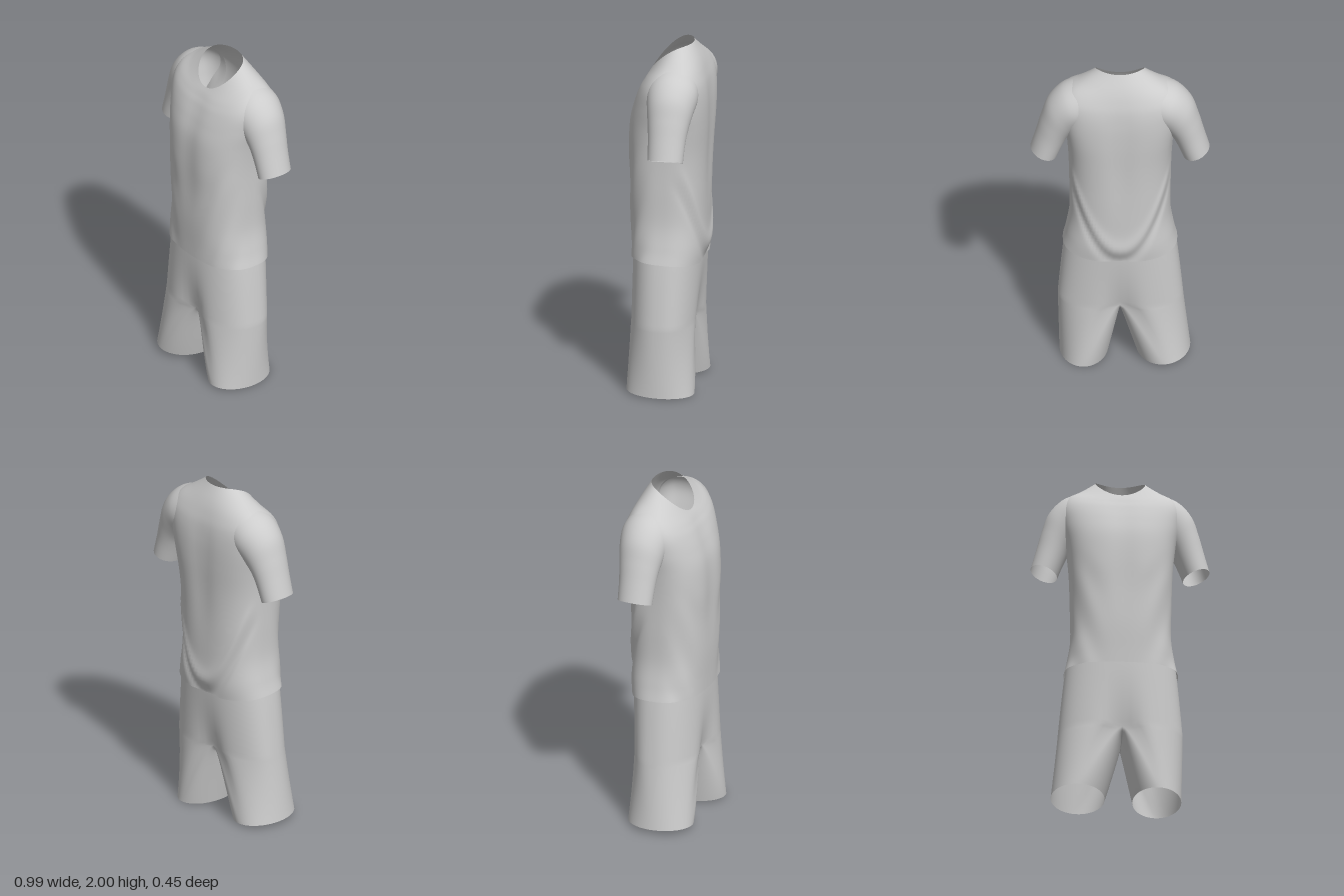
import * as THREE from 'three';
import { mergeGeometries, mergeVertices } from 'three/addons/utils/BufferGeometryUtils.js';

const TAU = Math.PI * 2;
const spow = (v, e) => Math.sign(v) * Math.abs(v) ** e;
const { lerp, smoothstep } = THREE.MathUtils;

// Smoothly interpolated row of numbers at v in 0..1
function sample(rows, v) {
  const f = v * (rows.length - 1), i = Math.min(Math.floor(f), rows.length - 2), t = f - i;
  const at = (k) => rows[Math.max(0, Math.min(rows.length - 1, k))];
  return rows[0].map((_, c) => {
    const [a, b, d, e] = [at(i - 1)[c], at(i)[c], at(i + 1)[c], at(i + 2)[c]];
    return b + 0.5 * t * (d - a + t * (2 * a - 5 * b + 4 * d - e + t * (3 * (b - d) + e - a)));
  });
}

// Surface grid from point(u, v), both in 0..1
function grid(point, nu, nv, flip = false) {
  const pos = [], idx = [];
  for (let j = 0; j <= nv; j++) for (let i = 0; i <= nu; i++) pos.push(...point(i / nu, j / nv));
  for (let j = 0; j < nv; j++) for (let i = 0; i < nu; i++) {
    const a = j * (nu + 1) + i, b = a + 1, d = a + nu + 1, c = d + 1;
    idx.push(...(flip ? [a, c, b, a, d, c] : [a, b, c, a, c, d]));
  }
  const g = new THREE.BufferGeometry();
  g.setAttribute('position', new THREE.Float32BufferAttribute(pos, 3));
  g.setIndex(idx);
  return g;
}

// Weld seams and smooth
function weld(parts) {
  const g = mergeVertices(mergeGeometries(parts), 1e-4);
  g.computeVertexNormals();
  return g;
}

// Shirt rings: half width, front z, front y, back z, back y, side y
const TORSO = [
  [0.318, 0.208, 0.78, -0.2, 0.75, 0.78],
  [0.3, 0.211, 0.86, -0.21, 0.84, 0.86],
  [0.28, 0.217, 1.0, -0.211, 1.0, 1.0],
  [0.282, 0.221, 1.2, -0.217, 1.2, 1.2],
  [0.288, 0.227, 1.4, -0.224, 1.4, 1.4],
  [0.302, 0.219, 1.56, -0.23, 1.56, 1.55],
  [0.325, 0.192, 1.67, -0.23, 1.69, 1.68],
  [0.335, 0.161, 1.75, -0.22, 1.78, 1.79],
  [0.3, 0.136, 1.795, -0.2, 1.85, 1.87],
  [0.22, 0.118, 1.825, -0.17, 1.925, 1.92],
  [0.138, 0.1, 1.85, -0.128, 2.0, 1.967],
];

function torsoPoint(u, v) {
  const [w, zF, yF, zB, yB, yS] = sample(TORSO, v);
  const s = Math.sin(u * TAU), c = Math.cos(u * TAU);
  // squarer across the upper back, round at the neck
  const broad = 0.18 * smoothstep(-c, 0, 0.5) * smoothstep(v, 0.3, 0.55);
  const e = lerp(0.8 - broad, 1, smoothstep(v, 0.72, 1));
  const x = w * spow(s, e);
  const y = yS + c * (yF - yB) / 2 + c * c * ((yF + yB) / 2 - yS);
  let z = (zF + zB) / 2 + (zF - zB) / 2 * spow(c, e);
  // draped folds sweeping round the lower back, and shallow ones in front
  const low = 1 - smoothstep(y, 1.25, 1.5);
  const back = smoothstep(-c, 0.05, 0.5) * low, front = smoothstep(c, 0.05, 0.5) * low;
  const d = y - (0.84 + 0.5 * (x / 0.28) ** 2);
  z -= back * (0.011 * Math.exp(-((d / 0.05) ** 2)) - 0.012 * Math.exp(-(((d + 0.09) / 0.05) ** 2)));
  z += front * 0.004 * Math.sin(d * 16) * smoothstep(Math.abs(x), 0.05, 0.2);
  // hollows down the spine and breastbone
  const hollow = smoothstep(Math.abs(c), 0.3, 0.9) * Math.exp(-((x / 0.07) ** 2));
  z -= Math.sign(c) * 0.01 * hollow * smoothstep(y, 1.0, 1.4) * (1 - smoothstep(y, 1.7, 1.9));
  return [x, y, z];
}

// Sleeve rings: outer x, outer y, inner x, inner y, half depth, centre z
const SLEEVE = [
  [0.497, 1.455, 0.35, 1.4, 0.1, -0.054],
  [0.466, 1.57, 0.316, 1.485, 0.105, -0.055],
  [0.438, 1.675, 0.284, 1.55, 0.115, -0.057],
  [0.4, 1.785, 0.24, 1.6, 0.13, -0.059],
  [0.325, 1.87, 0.19, 1.64, 0.143, -0.06],
  [0.225, 1.915, 0.14, 1.67, 0.135, -0.06],
];

const sleevePoint = (side) => (u, v) => {
  const [ox, oy, ix, iy, h, cz] = sample(SLEEVE, v);
  const k = (1 + Math.sin(u * TAU)) / 2;
  return [side * lerp(ix, ox, k), lerp(iy, oy, k), cz + h * Math.cos(u * TAU)];
};

// Shorts: y of waist, of the split between the legs, and cuff ellipse per side
const WAIST = 0.85, SPLIT = 0.41;
const CUFF = {
  1: { x: 0.2, rx: 0.136, z: 0.02, rz: 0.191, out: 0.006, inn: 0.012 },
  '-1': { x: 0.24, rx: 0.15, z: 0.022, rz: 0.188, out: 0.026, inn: 0.014 },
};

// Half of the hip; past u = 0.5 it returns along the crotch seam
function hipPoint(side, u, y) {
  const k = (WAIST - y) / (WAIST - SPLIT);
  const s = Math.sin(u * TAU), c = Math.cos(u * TAU);
  const x = s > 1e-6 ? lerp(0.3, side > 0 ? 0.345 : 0.35, k ** 0.8) * s ** 0.85 : 0;
  const groove = 1 - 0.25 * k ** 2.2 * Math.exp(-((x / 0.085) ** 2));
  const z = (c > 0 ? lerp(0.198, 0.211, k) : lerp(0.195, 0.175, k)) * spow(c, 0.85) * groove;
  return [side * x, y + 0.06 * Math.min(s, 0), z];
}

// Leg tube easing from the hip half to the cuff ellipse
function legPoint(side, u, v) {
  const q = CUFF[side], t = 1 - v, s = Math.sin(u * TAU), c = Math.cos(u * TAU);
  const [x, y, z] = hipPoint(side, u, SPLIT);
  const bx = side * (q.x + q.rx * s), bz = q.z + q.rz * c;
  const by = lerp(q.inn, q.out, (s + 1) / 2) + 0.006 * c;
  return [lerp(x, bx, t ** lerp(0.75, 1.1, s * s)), lerp(y, by, t), lerp(z, bz, 1 - (1 - t) ** 1.8)];
}

export function createModel() {
  const cloth = new THREE.MeshStandardMaterial({ color: 0xcccccc, side: THREE.DoubleSide });
  cloth.name = 'light grey cloth';
  const model = new THREE.Group();
  model.name = 'sportsOutfit';
  const add = (name, parts) => {
    const mesh = new THREE.Mesh(weld(parts), cloth);
    mesh.name = name;
    model.add(mesh);
  };

  add('shirtBody', [grid(torsoPoint, 96, 80)]);
  add('leftSleeve', [grid(sleevePoint(1), 48, 28)]);
  add('rightSleeve', [grid(sleevePoint(-1), 48, 28, true)]);

  const shorts = [];
  for (const side of [1, -1]) {
    shorts.push(grid((u, v) => hipPoint(side, u / 2, lerp(SPLIT, WAIST, v)), 32, 20, side < 0));
    shorts.push(grid((u, v) => legPoint(side, u, v), 64, 24, side < 0));
  }
  add('shorts', shorts);
  return model;
}
